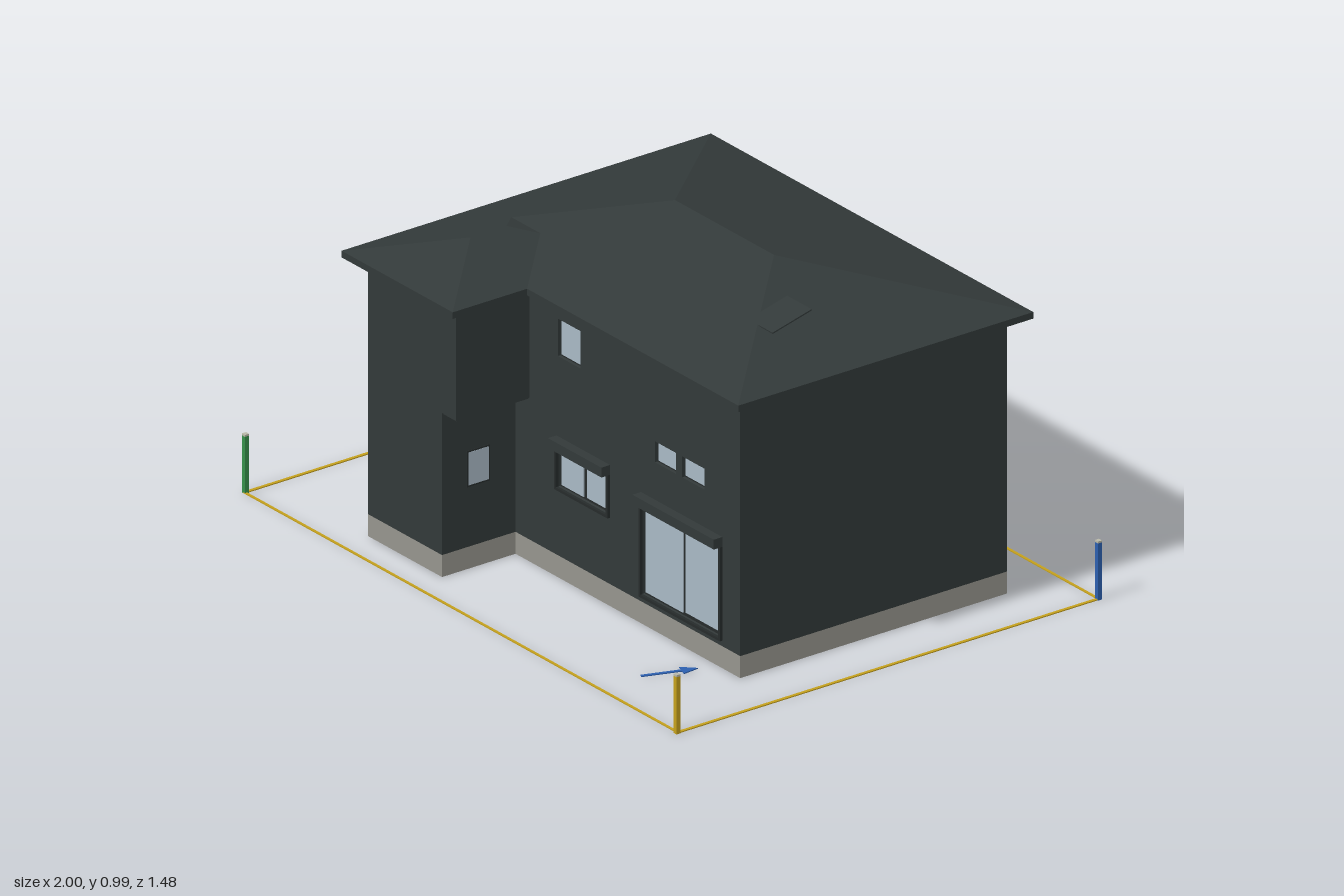
import * as THREE from 'three';
import { ConvexGeometry } from 'three/addons/geometries/ConvexGeometry.js';

export function createModel() {
  const house = new THREE.Group();
  house.name = 'house';

  const mat = (name, color) => {
    const m = new THREE.MeshStandardMaterial({ color });
    m.name = name;
    return m;
  };
  const siding = mat('charcoal siding', 0x323939);
  const trim = mat('dark trim', 0x262b2b);
  const concrete = mat('concrete', 0x96948d);
  const glass = mat('window glass', 0xa8b8c4);
  const brown = mat('brown wood', 0x4c2d22);
  const yellow = mat('yellow marker', 0xc4a01c);
  const green = mat('green marker', 0x36904a);
  const blue = mat('blue marker', 0x2c5fae);
  const pale = mat('pale cap', 0xb9b8a8);

  const add = (name, geometry, material) => {
    const mesh = new THREE.Mesh(geometry, material);
    mesh.name = name;
    house.add(mesh);
    return mesh;
  };
  // Box given by its limits
  const box = (name, material, x0, x1, y0, y1, z0, z1) => {
    const g = new THREE.BoxGeometry(x1 - x0, y1 - y0, z1 - z0);
    g.translate((x0 + x1) / 2, (y0 + y1) / 2, (z0 + z1) / 2);
    return add(name, g, material);
  };
  // Floor plan of [x, z] points raised from y0 to y1; the hole winds the other way
  const plan = (name, material, points, y0, y1, hole) => {
    const toV = ([x, z]) => new THREE.Vector2(x, -z);
    const shape = new THREE.Shape(points.map(toV));
    if (hole) shape.holes.push(new THREE.Path(hole.map(toV).reverse()));
    const g = new THREE.ExtrudeGeometry(shape, { depth: y1 - y0, bevelEnabled: false });
    g.rotateX(-Math.PI / 2);
    g.translate(0, y0, 0);
    return add(name, g, material);
  };

  // Footprint with front wing and a notched porch corner.
  // t insets every side, skin insets only the windowed front and back walls.
  const F = 0.375, B = -0.55, SKIN = 0.016, BASE = 0.067;
  const footprint = (porchX, wingX, t = 0, skin = 0) => [
    [porchX + t, B + t + skin], [0.81 - t, B + t + skin],
    [0.81 - t, F - t - skin], [wingX - t, F - t - skin],
    [wingX - t, 0.63 - t], [-0.56 + t, 0.63 - t], [-0.56 + t, -0.35 + t], [porchX + t, -0.35 + t],
  ];

  // Foundation ring, floor and two storeys
  plan('foundation', concrete, footprint(-0.31, -0.22), 0, BASE, footprint(-0.31, -0.22, 0.03));
  plan('floorUnderside', brown, footprint(-0.31, -0.22, 0.02), 0.04, 0.06);
  plan('lowerWalls', siding, footprint(-0.31, -0.22, 0, SKIN), BASE, 0.5);
  plan('upperWalls', siding, footprint(-0.437, -0.155, 0, SKIN), 0.5, 0.85);
  box('wingOverhangBand', siding, -0.22, -0.16, 0.495, 0.51, F, 0.625);

  // Outer wall skins with window openings [x0, x1, y0, y1]
  const wallSkin = (name, lowX, highX, z, openings) => {
    const pts = (list) => list.map(([x, y]) => new THREE.Vector2(x, y));
    const shape = new THREE.Shape(pts([
      [lowX, BASE], [0.81, BASE], [0.81, 0.85], [highX, 0.85], [highX, 0.5], [lowX, 0.5],
    ]));
    for (const [x0, x1, y0, y1] of openings) {
      shape.holes.push(new THREE.Path(pts([[x0, y0], [x0, y1], [x1, y1], [x1, y0]])));
    }
    const g = new THREE.ExtrudeGeometry(shape, { depth: SKIN, bevelEnabled: false });
    g.translate(0, 0, z);
    add(name, g, siding);
  };
  const frontOpenings = [
    [-0.026, 0.078, 0.674, 0.788], [0.419, 0.516, 0.514, 0.578], [0.544, 0.646, 0.514, 0.578],
    [-0.026, 0.208, 0.276, 0.4], [0.358, 0.724, 0.09, 0.37],
  ];
  const backOpenings = [[0.543, 0.637, 0.66, 0.79], [0.173, 0.279, 0.66, 0.79]];
  wallSkin('frontWall', -0.22, -0.155, F - SKIN, frontOpenings);
  wallSkin('backWall', -0.31, -0.437, B, backOpenings);

  // Recessed dark frames and glass panes; dir is the outward z direction
  const recess = (name, material, [x0, x1, y0, y1], dir, depth) => {
    const z = dir > 0 ? F - SKIN : B + SKIN;
    box(name, material, x0, x1, y0, y1, Math.min(z, z + dir * depth), Math.max(z, z + dir * depth));
  };
  frontOpenings.forEach((o) => recess('frontWindowFrame', trim, o, 1, 0.006));
  backOpenings.forEach((o) => recess('backWindowFrame', trim, o, -1, 0.006));
  for (const pane of [
    [-0.019, 0.072, 0.68, 0.782], [0.426, 0.51, 0.52, 0.572], [0.55, 0.64, 0.52, 0.572],
    [-0.019, 0.083, 0.282, 0.393], [0.098, 0.201, 0.285, 0.383],
    [0.366, 0.538, 0.097, 0.36], [0.55, 0.716, 0.102, 0.354],
  ]) recess('frontGlass', glass, pane, 1, 0.009);
  for (const pane of [[0.55, 0.63, 0.667, 0.783], [0.18, 0.272, 0.667, 0.783]]) {
    recess('backGlass', glass, pane, -1, 0.009);
  }
  box('wingSideFrame', trim, -0.222, -0.218, 0.25, 0.36, 0.465, 0.545);
  box('wingSideGlass', glass, -0.223, -0.217, 0.255, 0.355, 0.47, 0.54);

  // Eaves and hipped roofs
  const EAVE = 0.863, slope = 0.251;
  plan('eaves', siding, [
    [-0.615, -0.602], [0.863, -0.602], [0.863, 0.422], [-0.105, 0.422], [-0.105, 0.68], [-0.615, 0.68],
  ], 0.843, EAVE);
  const hipRoof = (name, x0, x1, z0, z1) => {
    const h = Math.min(x1 - x0, z1 - z0) / 2, top = EAVE + h * slope;
    const points = [
      [x0, EAVE, z0], [x1, EAVE, z0], [x1, EAVE, z1], [x0, EAVE, z1],
      [x0 + h, top, z0 + h], [x1 - h, top, z1 - h],
    ].map((p) => new THREE.Vector3(...p));
    add(name, new ConvexGeometry(points), siding);
  };
  hipRoof('mainRoof', -0.615, 0.863, -0.602, 0.422);
  hipRoof('wingRoof', -0.615, -0.105, 0.045, 0.68);

  // Thin panel tilted with the front roof slope
  const panel = add('roofPanel', new THREE.BoxGeometry(0.112, 0.004, 0.14), siding);
  panel.position.set(0.6, EAVE - 0.002 + slope * (0.422 - 0.078), 0.078);
  panel.rotation.x = Math.atan(slope);

  // Shutter boxes with side rails
  const shutter = (name, x0, x1, bottom, y0, y1) => {
    box(name + 'Box', siding, x0, x1, y0, y1, F, F + 0.03);
    for (const x of [x0, x1 - 0.008]) box(name + 'Rail', trim, x, x + 0.008, bottom, y0, F, F + 0.009);
    box(name + 'Sill', trim, x0, x1, bottom - 0.008, bottom, F, F + 0.009);
  };
  shutter('livingShutter', -0.032, 0.213, 0.277, 0.4, 0.43);
  shutter('patioShutter', 0.355, 0.728, 0.092, 0.37, 0.4);

  // Entrance porch: slab, canopy, beam, open-sided screen and door
  box('porchSlab', concrete, -0.56, -0.31, 0, 0.04, B, -0.35);
  box('porchCanopy', siding, -0.6, -0.33, 0.512, 0.526, -0.582, -0.35);
  box('porchCeiling', brown, -0.545, -0.31, 0.49, 0.512, -0.535, -0.35);
  box('porchBeam', brown, -0.545, -0.31, 0.43, 0.512, B, -0.53);
  box('porchScreenHead', siding, -0.56, -0.545, 0.43, 0.512, B, -0.35);
  box('porchPost', siding, -0.56, -0.545, 0.04, 0.43, B, -0.535);
  box('porchScreen', siding, -0.56, -0.548, 0.04, 0.43, -0.515, -0.378);
  box('porchScreenLining', concrete, -0.548, -0.545, 0.04, 0.43, -0.515, -0.378);
  box('entranceDoor', brown, -0.535, -0.405, 0.04, 0.43, -0.354, -0.35);
  box('entranceDoorLeaf', trim, -0.522, -0.41, 0.04, 0.42, -0.357, -0.352);

  // Boundary lines and corner markers
  for (const s of [-1, 1]) {
    box('boundaryLong', yellow, -0.995, 0.995, 0, 0.003, s * 0.73 - 0.004, s * 0.73 + 0.004);
    box('boundaryShort', yellow, s * 0.993 - 0.005, s * 0.993 + 0.005, 0, 0.003, -0.725, 0.725);
  }
  for (const [x, z, m] of [[-0.993, 0.727, green], [0.993, 0.733, yellow], [0.993, -0.73, blue], [-0.993, -0.73, trim]]) {
    box('cornerPost', m, x - 0.007, x + 0.007, 0, 0.174, z - 0.007, z + 0.007);
    box('cornerPostCap', pale, x - 0.007, x + 0.007, 0.174, 0.18, z - 0.007, z + 0.007);
  }

  // Ground arrow
  const arrow = plan('groundArrow', blue, [
    [-0.005, 0], [0.005, 0], [0.005, -0.118], [0.022, -0.118], [0, -0.165], [-0.022, -0.118], [-0.005, -0.118],
  ], 0, 0.003);
  arrow.rotation.y = -0.34;
  arrow.position.set(0.635, 0, 0.587);

  return house;
}
